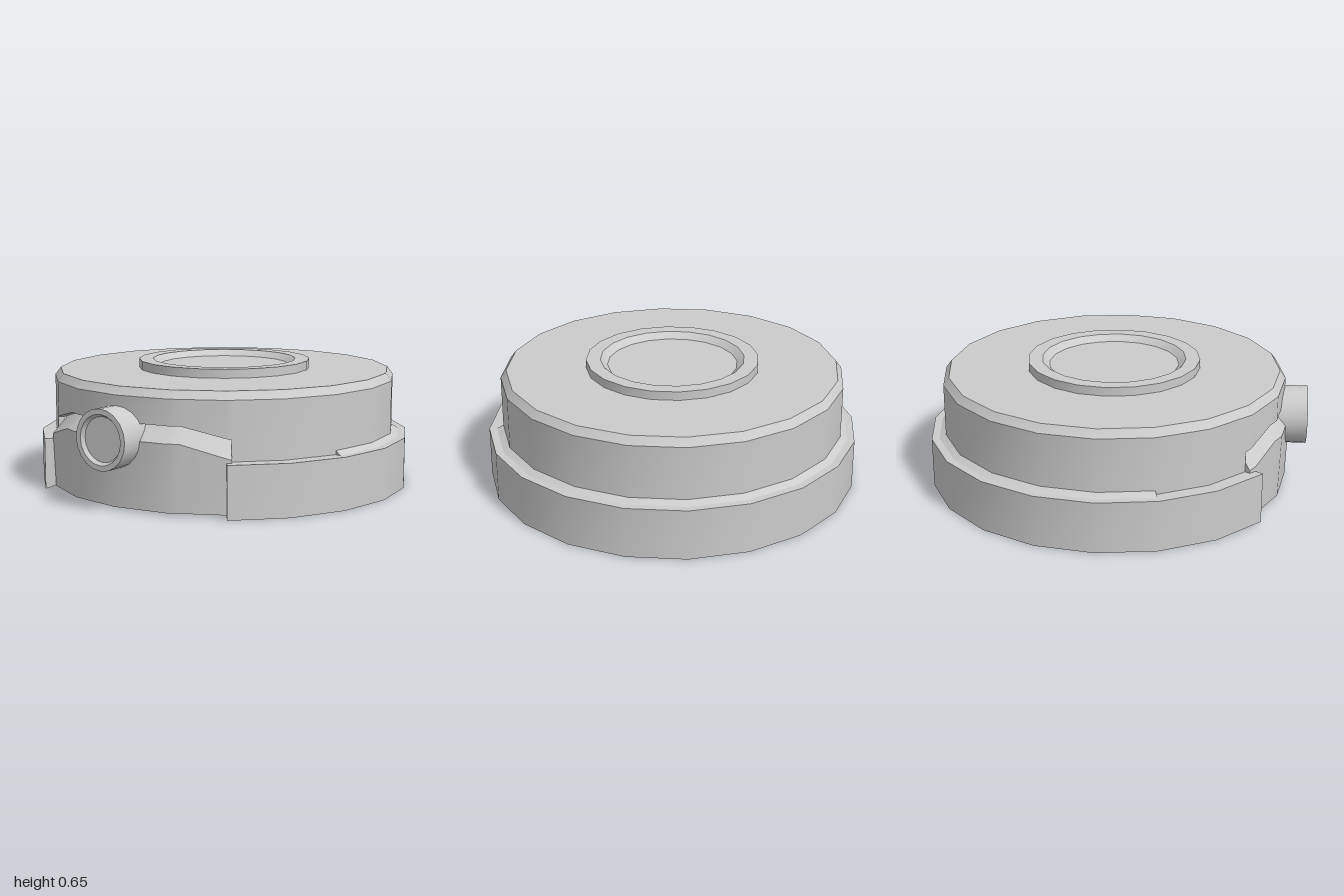
import * as THREE from 'three';
import { toCreasedNormals } from 'three/addons/utils/BufferGeometryUtils.js';

const DEG = Math.PI / 180;
const CREASE = 0.4;
const STEP = 18; // twenty-sided drum
const MIDDLE = -18.5; // angle of the front panel's middle
const material = new THREE.MeshStandardMaterial({ color: 0xcccccc, side: THREE.DoubleSide });

// Point on the twenty-sided outline; angle runs from the front (+z) towards +x.
function point([r, y], deg) {
  const offset = deg - Math.floor(deg / STEP) * STEP - STEP / 2;
  const k = r * Math.cos(STEP / 2 * DEG) / Math.cos(offset * DEG);
  return [k * Math.sin(deg * DEG), y, k * Math.cos(deg * DEG)];
}

function namedMesh(geometry, name) {
  const m = new THREE.Mesh(toCreasedNormals(geometry, CREASE), material);
  m.name = name;
  return m;
}

function meshFrom(triangles, name) {
  const g = new THREE.BufferGeometry();
  g.setAttribute('position', new THREE.Float32BufferAttribute(triangles.flat(2), 3));
  return namedMesh(g, name);
}

// Sweeps the profile given by profileAt(angle), bottom to top, through the angles.
function sweep(angles, profileAt, name) {
  const tris = [];
  for (let s = 0; s + 1 < angles.length; s++) {
    const pa = profileAt(angles[s]), pb = profileAt(angles[s + 1]);
    for (let i = 0; i + 1 < pa.length; i++) {
      const a0 = point(pa[i], angles[s]), a1 = point(pa[i + 1], angles[s]);
      const b0 = point(pb[i], angles[s + 1]), b1 = point(pb[i + 1], angles[s + 1]);
      if (pa[i][0] > 0) tris.push([a0, b0, b1]);
      if (pa[i + 1][0] > 0) tris.push([a0, b1, a1]);
    }
  }
  return meshFrom(tris, name);
}

// Flat convex radial wall closing a sweep; side +1 faces growing angles.
function endWall(points, deg, side, name) {
  const p = points.map((q) => point(q, deg));
  const tris = [];
  for (let i = 1; i + 1 < p.length; i++) {
    tris.push(side > 0 ? [p[0], p[i + 1], p[i]] : [p[0], p[i], p[i + 1]]);
  }
  return meshFrom(tris, name);
}

function range(from, to) {
  const out = [];
  for (let a = from; a <= to; a += STEP) out.push(a);
  return out;
}

const drumTop = [[0.905, 0.56], [0.875, 0.6], [0, 0.6]];

// Front panel with a sloping shoulder running back under the drum.
function panelProfile(deg) {
  const off = Math.abs(deg - MIDDLE);
  const t = THREE.MathUtils.clamp((off - 22.5) / 15.5, 0, 1);
  const low = 0.35 - 0.07 * t, high = 0.43 - 0.06 * t;
  return [[0.91, 0.02], [0.925, 0.012], [0.935, low], [0.86, high], [0.905, high], ...drumTop];
}

export function createModel() {
  const model = new THREE.Group();
  model.name = 'roundCase';
  const body = new THREE.Group();
  body.name = 'body';
  body.position.z = -0.02;
  model.add(body);

  // Underside, set slightly up inside the skirt
  body.add(sweep(range(0, 360), () => [[0, 0.02], [0.91, 0.02]], 'underside'));

  // Drum wall and top outside the front panel
  body.add(sweep([MIDDLE + 38, ...range(36, 288), MIDDLE + 322], () => [[0.905, 0.265], ...drumTop], 'drum'));

  // Skirt, open at the front, and the chamfered ledge round its back
  body.add(sweep(range(18, 306), () => [[0.91, 0.02], [0.98, 0], [0.98, 0.265], [0.905, 0.265]], 'skirt'));
  body.add(sweep(range(54, 270), () => [[0.94, 0.265], [0.905, 0.285]], 'ledge'));

  // Front panel filling the gap in the skirt
  body.add(sweep([MIDDLE - 38, -54, -41, -36, -18, 0, 4, 18, MIDDLE + 38], panelProfile, 'frontPanel'));

  // Walls at both ends of the skirt, ledge, panel and recess
  for (const side of [-1, 1]) {
    const skirt = -18 + 36 * side, ledge = -18 + 72 * side, panel = MIDDLE + 38 * side;
    body.add(endWall([[0.91, 0.02], [0.98, 0], [0.98, 0.265], [0.905, 0.265]], skirt, -side, 'skirtEnd'));
    body.add(endWall([[0.905, 0.265], [0.94, 0.265], [0.905, 0.285]], ledge, -side, 'ledgeEnd'));
    body.add(endWall([[0.905, 0.265], [0.935, 0.265], [0.935, 0.28], [0.905, 0.316]], panel, side, 'panelEnd'));
    body.add(endWall([[0.86, 0.37], [0.905, 0.316], [0.905, 0.37]], panel, -side, 'recessEnd'));
  }

  // Raised ring on the top with a sloping inner wall
  body.add(sweep(range(0, 360), () => [[0.455, 0.6], [0.455, 0.646], [0.38, 0.646], [0.343, 0.615], [0, 0.615]],
    'topRing'));

  // Round button with a dished face, turned to the middle of the panel
  const profile = [[0.152, 0], [0.152, 0.205], [0.125, 0.205], [0.112, 0.185], [0, 0.185]];
  const geometry = new THREE.LatheGeometry(profile.map(([r, y]) => new THREE.Vector2(r, y)), 20);
  geometry.rotateX(Math.PI / 2);
  geometry.translate(0, 0.357, 0.818);
  geometry.rotateY(-18 * DEG);
  body.add(namedMesh(geometry, 'button'));

  return model;
}
